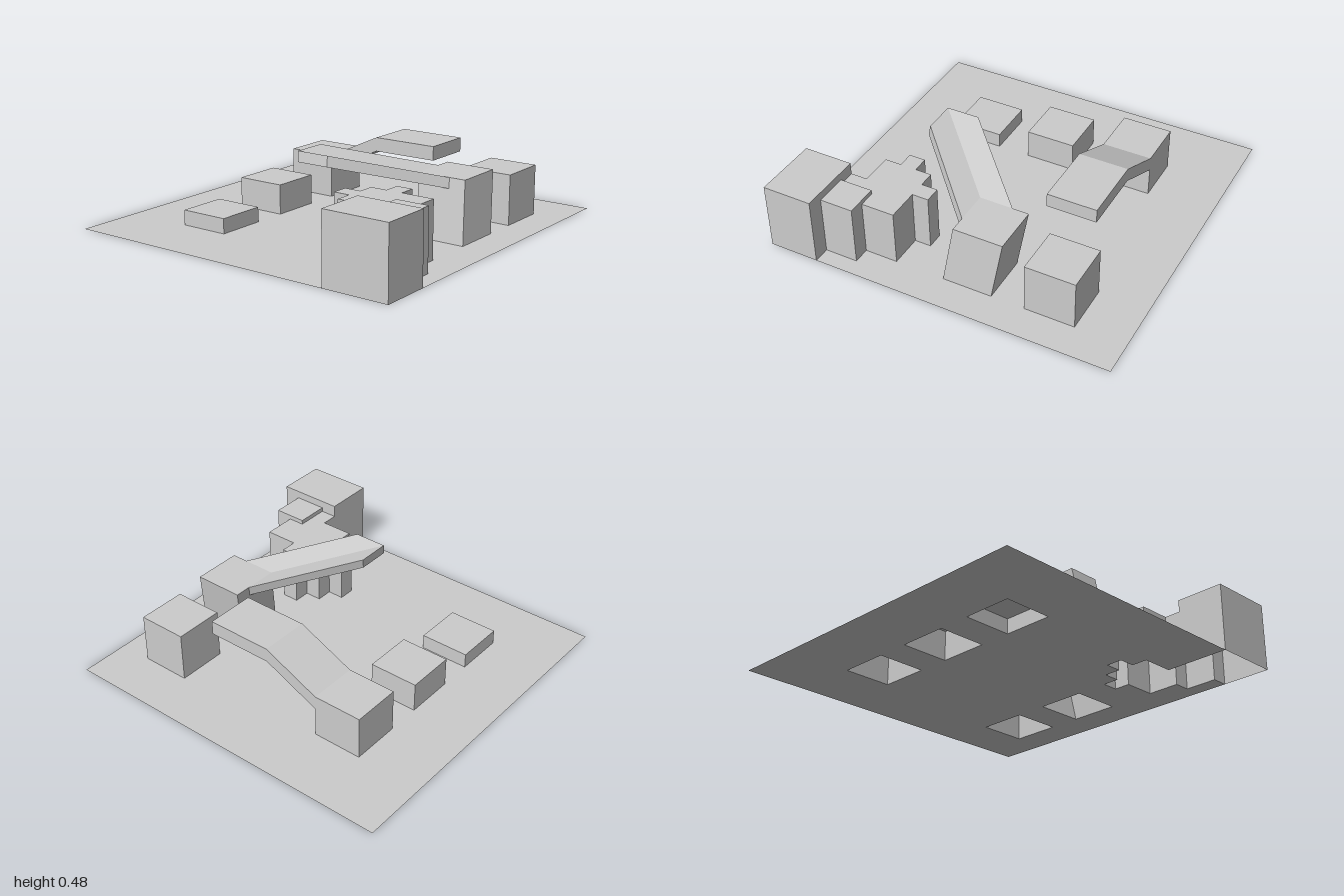
import * as THREE from 'three';

const N = 21, U = 2 / N; // ground is a 21 x 21 grid of cells
const at = (i) => -1 + i * U;
const material = new THREE.MeshStandardMaterial({ color: 0xcccccc, flatShading: true, side: THREE.DoubleSide });

// Mesh from four-cornered faces, corners counter-clockwise from outside
function sheet(name, quads) {
  const pos = quads.flatMap(([a, b, c, d]) => [a, b, c, a, c, d].flat());
  const geo = new THREE.BufferGeometry();
  geo.setAttribute('position', new THREE.Float32BufferAttribute(pos, 3));
  geo.computeVertexNormals();
  const mesh = new THREE.Mesh(geo, material);
  mesh.name = name;
  return mesh;
}

// Skin between matching loops; the last loop is closed by folding it in half
function sweep(loops) {
  const quads = [], n = loops[0].length, end = loops[loops.length - 1];
  for (let s = 0; s + 1 < loops.length; s++)
    for (let k = 0; k < n; k++) {
      const m = (k + 1) % n;
      quads.push([loops[s][k], loops[s][m], loops[s + 1][m], loops[s + 1][k]]);
    }
  for (let k = 0; k < n / 2 - 1; k++) quads.push([end[k], end[k + 1], end[n - 2 - k], end[n - 1 - k]]);
  return quads;
}

// Blocks: name, height, cell rectangles [x0, x1, z0, z1]; later ones win
const blocks = [
  ['ground', 0, [[0, 21, 0, 21]]],
  ['lowBlock', 0.085, [[4, 7, 4, 7]]],
  ['middleBlock', 0.17, [[9, 12, 4, 7]]],
  ['frontBlock', 0.285, [[15, 18, 16, 19]]],
  ['crossBlock', 0.32, [[4, 7, 15, 19], [5, 6, 14, 15], [7, 8, 16, 17], [3, 4, 17, 18]]],
  ['linkBlock', 0.345, [[3, 5, 18, 20]]],
  ['cornerBlock', 0.39, [[0, 3, 17, 21]]],
  ['openings', null, [[14, 17, 4, 7], [10, 13, 16, 19]]],
];

// Open-bottomed blocks: tops, plus walls down to any lower neighbour
function blockMeshes() {
  const owner = Array.from({ length: N }, () => Array(N).fill(0));
  blocks.forEach(([, , rects], b) => rects.forEach(([x0, x1, z0, z1]) => {
    for (let i = x0; i < x1; i++) for (let j = z0; j < z1; j++) owner[i][j] = b;
  }));
  const faces = blocks.map(() => []);
  for (let i = 0; i < N; i++) for (let j = 0; j < N; j++) {
    const b = owner[i][j], h = blocks[b][1];
    if (h === null) continue;
    const [x0, x1, z0, z1] = [at(i), at(i + 1), at(j), at(j + 1)];
    faces[b].push([[x0, h, z0], [x0, h, z1], [x1, h, z1], [x1, h, z0]]);
    for (const [dx, dz] of [[1, 0], [-1, 0], [0, 1], [0, -1]]) {
      const low = blocks[owner[i + dx]?.[j + dz] ?? 0][1] ?? 0;
      if (low >= h) continue;
      const p = (s, y) => [at(i + 0.5 + (dx + s * dz) / 2), y, at(j + 0.5 + (dz - s * dx) / 2)];
      faces[b].push([p(-1, low), p(1, low), p(1, h), p(-1, h)]);
    }
  }
  return blocks.map(([name], b) => faces[b].length && sheet(name, faces[b])).filter(Boolean);
}

// Box with a ramp and a raised overhang growing out of its front
function bridge() {
  const group = new THREE.Group();
  group.name = 'bridge';
  const [l, r, b, f] = [at(14), at(17), at(4), at(7)];
  const top = 0.25, under = 0.17;
  group.add(sheet('bridgeBase', [
    [[l, top, b], [l, top, f], [r, top, f], [r, top, b]],
    [[l, 0, b], [l, 0, f], [l, top, f], [l, top, b]],
    [[r, 0, f], [r, 0, b], [r, top, b], [r, top, f]],
    [[r, 0, b], [l, 0, b], [l, top, b], [r, top, b]],
    [[l, 0, f], [r, 0, f], [r, under, f], [l, under, f]],
  ]));
  const loop = (z, lo, hi) => [[l, lo, z], [r, lo, z], [r, hi, z], [l, hi, z]];
  group.add(sheet('bridgeArm', sweep([loop(f, under, top), loop(-0.01, 0.32, 0.4), loop(0.375, 0.32, 0.4)])));
  return group;
}

// Leaning tower whose upper back corner is drawn out into a folded beam
function tower() {
  const group = new THREE.Group();
  group.name = 'leaningTower';
  const H = 0.34, S = 0.282, W = 3 * U, A = 2 * U;
  // Point at dx, dz from the back right corner, at height y along the lean
  const p = (dx, dz, y) => [at(10) + dx + 0.054 * y / H, y, at(16) + dz - 0.028 * y / H];
  const wall = (a, b, lo, hi) => [p(...a, lo), p(...b, lo), p(...b, hi), p(...a, hi)];
  group.add(sheet('towerBody', [
    [p(0, 0, H), p(0, W, H), p(W, W, H), p(W, 0, H)],
    wall([0, W], [W, W], 0, H),
    wall([W, W], [W, 0], 0, H),
    wall([W, 0], [0, 0], 0, S),
    wall([W, 0], [A, 0], S, H),
    wall([0, 0], [0, W], 0, S),
    wall([0, A], [0, W], S, H),
  ]));
  const start = [p(A, 0, S), p(0, 0, S), p(0, A, S), p(0, A, H), p(0, 0, H), p(A, 0, H)];
  const end = start.map(([x, y, z]) => [x - 0.453, y + 0.138, z - 0.453]);
  group.add(sheet('towerBeam', sweep([start, end])));
  return group;
}

export function createModel() {
  const model = new THREE.Group();
  model.name = 'blockLandscape';
  model.add(...blockMeshes(), bridge(), tower());
  return model;
}
